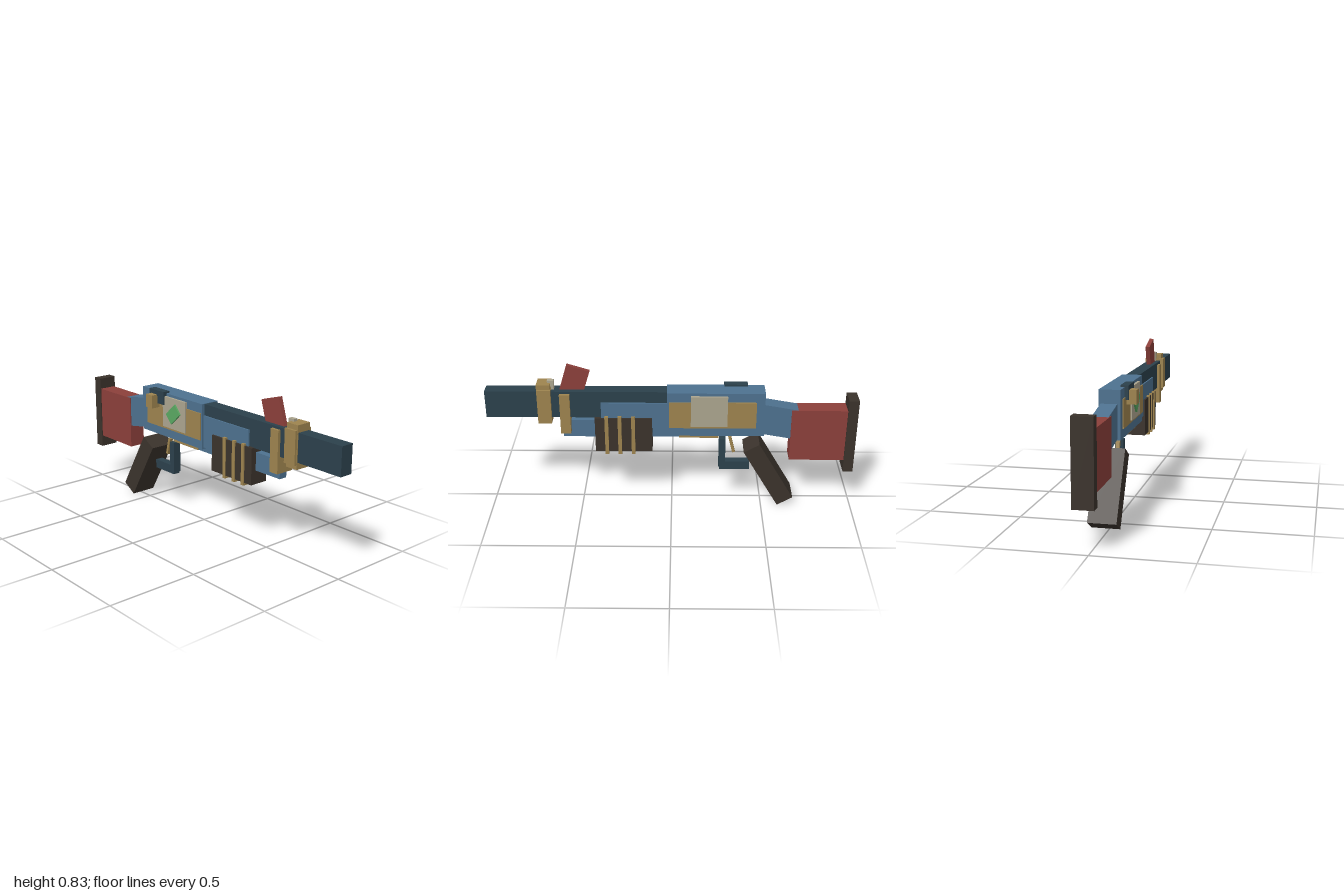
import * as THREE from 'three';

const mat = (name, color) => {
  const m = new THREE.MeshStandardMaterial({ color });
  m.name = name;
  return m;
};

export function createModel() {
  const group = new THREE.Group();
  const blue = mat('steel blue', 0x4e7290);
  const teal = mat('dark teal', 0x2c414c);
  const tan = mat('brass tan', 0x9e844f);
  const brown = mat('dark brown', 0x3b332c);
  const red = mat('brick red', 0x8c403b);
  const silver = mat('pale silver', 0xaca58f);
  const green = mat('green', 0x5aa862);

  // Box given by its extents on each axis
  const box = (name, material, [x0, x1], [y0, y1], [z0, z1]) => {
    const mesh = new THREE.Mesh(new THREE.BoxGeometry(x1 - x0, y1 - y0, z1 - z0), material);
    mesh.position.set((x0 + x1) / 2, (y0 + y1) / 2, (z0 + z1) / 2);
    mesh.name = name;
    group.add(mesh);
    return mesh;
  };

  // Box given by centre and size, turned in the side plane
  const tilted = (name, material, cx, cy, w, h, z, degrees) => {
    const mesh = box(name, material, [cx - w / 2, cx + w / 2], [cy - h / 2, cy + h / 2], z);
    mesh.rotation.z = THREE.MathUtils.degToRad(degrees);
    return mesh;
  };

  // Stock
  box('buttPlate', brown, [-1, -0.945], [0.212, 0.645], [-0.078, 0.03]);
  box('stock', red, [-0.945, -0.645], [0.28, 0.582], [-0.07, 0.025]);
  tilted('stockNeck', blue, -0.58, 0.511, 0.19, 0.175, [-0.065, 0.02], 10);

  // Receiver with plates showing on both sides
  box('receiver', blue, [-0.5, 0.025], [0.43, 0.685], [-0.075, 0.036]);
  box('sidePanels', tan, [-0.455, 0.015], [0.48, 0.633], [-0.082, 0.042]);
  box('sidePlates', silver, [-0.3, -0.103], [0.493, 0.67], [-0.089, 0.05]);
  tilted('diamondInlay', green, -0.2, 0.583, 0.103, 0.068, [0.045, 0.06], 42);
  box('bottomStrip', tan, [-0.255, -0.04], [0.405, 0.44], [-0.052, 0.012]);

  // Bolt
  box('boltBlock', teal, [-0.41, -0.283], [0.62, 0.695], [0.015, 0.057]);
  box('boltKnob', tan, [-0.395, -0.34], [0.595, 0.67], [0.036, 0.095]);

  // Barrel, lower tube and fore-end
  box('barrel', teal, [0, 1], [0.53, 0.683], [-0.056, 0.018]);
  box('lowerTube', blue, [-0.04, 0.59], [0.405, 0.505], [-0.042, 0.005]);
  box('handguard', blue, [0.01, 0.38], [0.44, 0.62], [-0.064, 0.026]);
  box('foreGrip', brown, [0.105, 0.415], [0.33, 0.532], [-0.072, 0.036]);
  for (const x of [0.208, 0.281, 0.352]) {
    box('foreGripRib', tan, [x - 0.01, x + 0.01], [0.315, 0.542], [-0.08, 0.042]);
  }

  // Barrel bands and sights
  box('rearBand', tan, [0.545, 0.6], [0.44, 0.67], [-0.073, 0.034]);
  box('frontBand', tan, [0.645, 0.718], [0.515, 0.695], [-0.073, 0.036]);
  box('frontBandCore', tan, [0.648, 0.721], [0.493, 0.722], [-0.062, 0.023]);
  box('frontSight', silver, [0.63, 0.665], [0.675, 0.735], [-0.03, -0.006]);
  tilted('sightFlag', red, 0.52, 0.731, 0.127, 0.16, [-0.03, -0.006], 17);

  // Grip, trigger and guard
  tilted('grip', brown, -0.535, 0.193, 0.098, 0.391, [-0.094, 0.055], -30.4);
  tilted('trigger', tan, -0.33, 0.352, 0.016, 0.1, [-0.03, -0.008], -14);
  box('guardPost', teal, [-0.296, -0.26], [0.212, 0.39], [-0.042, 0.004]);
  box('guardBase', teal, [-0.43, -0.265], [0.2, 0.25], [-0.041, 0.003]);

  return group;
}
